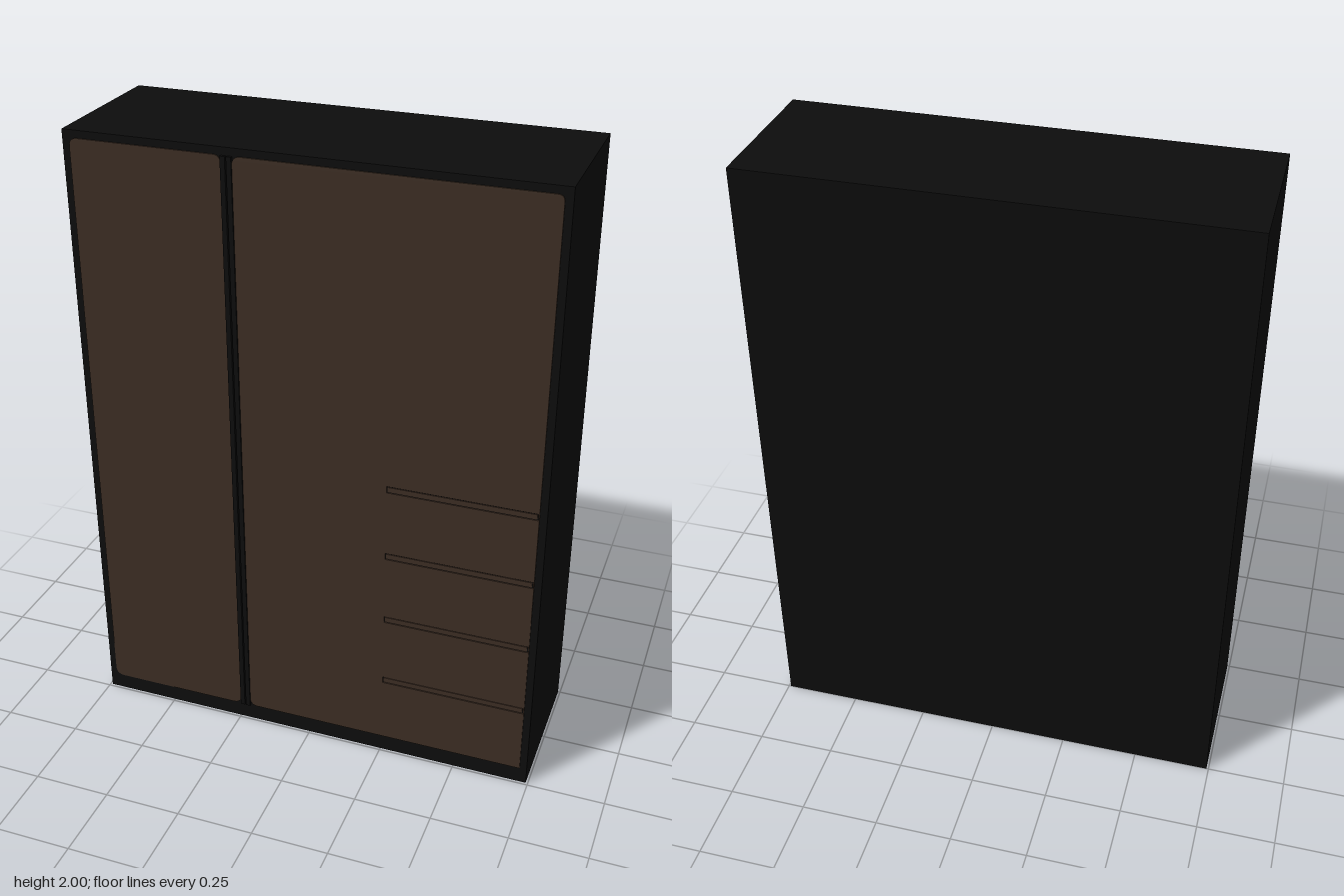
import * as THREE from 'three';

const FRONT = 0.241; // front plane of the carcass
const PLATE = 0.004; // thickness of the door faces

// Rounded rectangle with one radius per corner: bottom left, bottom right, top right, top left
function panelShape(x0, y0, x1, y1, [bl, br, tr, tl]) {
  const s = new THREE.Shape();
  s.moveTo(x0 + bl, y0);
  s.lineTo(x1 - br, y0);
  if (br) s.quadraticCurveTo(x1, y0, x1, y0 + br);
  s.lineTo(x1, y1 - tr);
  if (tr) s.quadraticCurveTo(x1, y1, x1 - tr, y1);
  s.lineTo(x0 + tl, y1);
  if (tl) s.quadraticCurveTo(x0, y1, x0, y1 - tl);
  s.lineTo(x0, y0 + bl);
  if (bl) s.quadraticCurveTo(x0, y0, x0 + bl, y0);
  return s;
}

function rectPath(x0, y0, x1, y1) {
  const p = new THREE.Path();
  p.moveTo(x0, y0);
  p.lineTo(x0, y1);
  p.lineTo(x1, y1);
  p.lineTo(x1, y0);
  p.closePath();
  return p;
}

export function createModel() {
  const model = new THREE.Group();
  model.name = 'wardrobe';

  const black = new THREE.MeshStandardMaterial({ color: 0x0d0d0d });
  black.name = 'black lacquer';
  const brown = new THREE.MeshStandardMaterial({ color: 0x3d2e24 });
  brown.name = 'dark brown wood';

  const add = (name, geometry, material, x = 0, y = 0, z = 0) => {
    const mesh = new THREE.Mesh(geometry, material);
    mesh.name = name;
    mesh.position.set(x, y, z);
    model.add(mesh);
  };
  const plate = (name, shape) => add(name,
    new THREE.ExtrudeGeometry(shape, { depth: PLATE, bevelEnabled: false, curveSegments: 6 }),
    brown, 0, 0, FRONT);

  // Carcass
  const back = -0.25;
  add('carcass', new THREE.BoxGeometry(1.486, 2, FRONT - back), black, 0, 1, (FRONT + back) / 2);

  // Narrow door
  plate('narrowDoor', panelShape(-0.72, 0.055, -0.247, 1.977, [0.03, 0.03, 0.025, 0.025]));

  // Wide front with slots where the drawers meet
  const wide = panelShape(-0.213, 0.057, 0.72, 1.977, [0.025, 0, 0.02, 0.025]);
  const slots = [1.002, 0.764, 0.527, 0.289];
  for (const y of slots) wide.holes.push(rectPath(0.255, y - 0.011, 0.717, y + 0.011));
  plate('wideFront', wide);

  // Finger rail inside every slot, leaving a fine dark gap around it
  for (const y of slots) {
    add('drawerRail', new THREE.BoxGeometry(0.456, 0.016, 0.003), brown, 0.486, y, FRONT + 0.0015);
  }

  // Pair of full-height door handles between the fronts
  for (const side of [-1, 1]) {
    add('doorHandle', new THREE.BoxGeometry(0.015, 1.92, 0.009), black,
      -0.23 + side * 0.0095, 1.016, FRONT + 0.0045);
  }

  return model;
}
